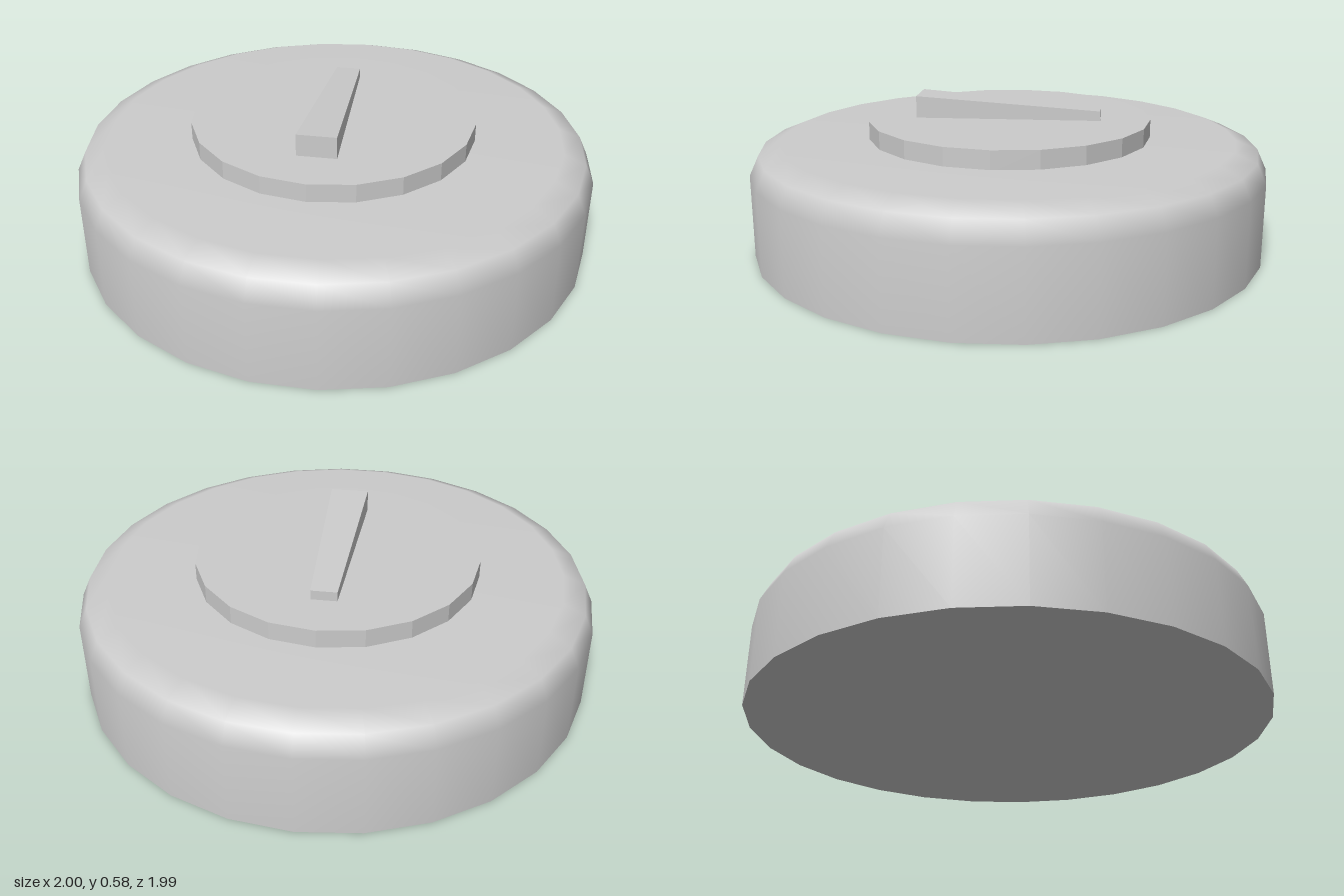
import * as THREE from 'three';

export function createModel() {
  const group = new THREE.Group();
  const smooth = new THREE.MeshStandardMaterial({ color: 0xcccccc });
  const flat = new THREE.MeshStandardMaterial({ color: 0xcccccc, flatShading: true });
  const add = (name, geometry, material) => {
    const mesh = new THREE.Mesh(geometry, material);
    mesh.name = name;
    group.add(mesh);
    return mesh;
  };

  // Round body with a softly bevelled shoulder
  const sides = 27;
  const profile = [[1, 0], [1, 0.32], [0.965, 0.395], [0.88, 0.43], [0, 0.43]]
    .map(([r, y]) => new THREE.Vector2(r, y));
  add('body', new THREE.LatheGeometry(profile, sides, Math.PI), smooth).position.z = 0.003;

  // Flat underside
  const base = new THREE.CircleGeometry(1, sides, -Math.PI / 2).rotateX(Math.PI / 2);
  add('underside', base, flat).position.z = 0.003;

  // Raised dial disc
  const dial = new THREE.CylinderGeometry(0.55, 0.55, 0.08, 20);
  add('dial', dial, flat).position.set(-0.006, 0.46, 0);

  // Wedge pointer: wider and taller towards the front
  const pointer = new THREE.BoxGeometry(1, 1, 0.715);
  const p = pointer.attributes.position;
  for (let i = 0; i < p.count; i++) {
    const front = p.getZ(i) > 0;
    p.setX(i, p.getX(i) * (front ? 0.15 : 0.098));
    p.setY(i, p.getY(i) < 0 ? 0.49 : front ? 0.585 : 0.537);
  }
  pointer.computeVertexNormals();
  add('pointer', pointer, flat).position.x = -0.006;

  return group;
}
